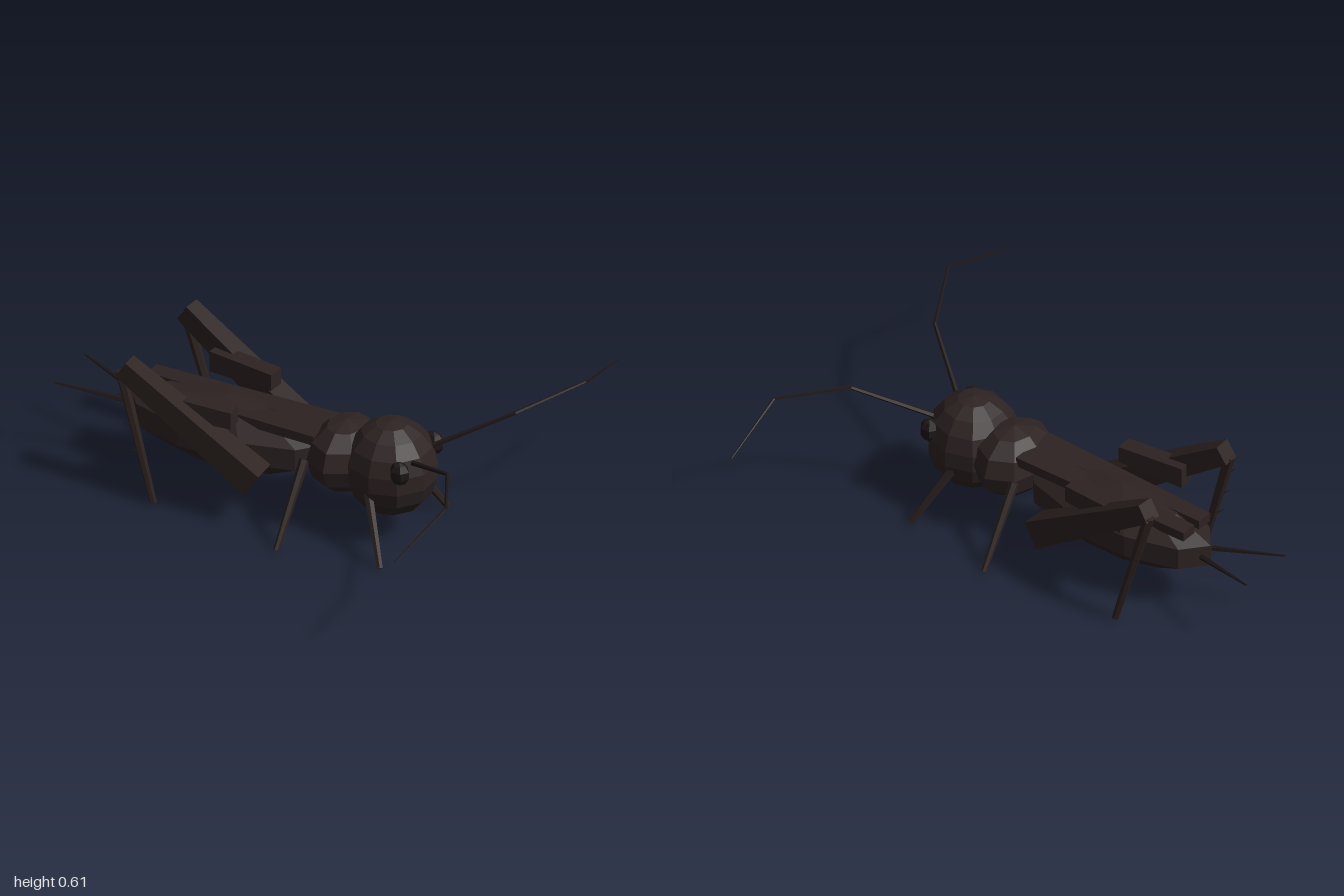
import * as THREE from 'three';

const material = (name, color) => {
  const m = new THREE.MeshStandardMaterial({ color, flatShading: true });
  m.name = name;
  return m;
};

export function createModel() {
  const shell = material('dark brown shell', 0x2d2222);
  const limb = material('brown limb', 0x2b211f);
  const dark = material('blackish brown', 0x1e1616);
  const root = new THREE.Group();
  root.name = 'cricket';

  const add = (name, geometry, mat, parent = root) => {
    const mesh = new THREE.Mesh(geometry, mat);
    mesh.name = name;
    parent.add(mesh);
    return mesh;
  };

  // Faceted ellipsoid
  const blob = (name, centre, radii, w, h, mat, turn = 0, parent = root) => {
    const g = new THREE.SphereGeometry(1, w, h);
    g.rotateY(turn);
    g.scale(...radii);
    g.translate(...centre);
    return add(name, g, mat, parent);
  };

  // Tapered round rod from a to b
  const rod = (name, a, b, ra, rb, mat, parent, sides = 6) => {
    const p = new THREE.Vector3(...a), q = new THREE.Vector3(...b);
    const d = q.clone().sub(p);
    const mesh = add(name, new THREE.CylinderGeometry(rb, ra, d.length(), sides), mat, parent);
    mesh.position.copy(p).add(q).multiplyScalar(0.5);
    mesh.quaternion.setFromUnitVectors(new THREE.Vector3(0, 1, 0), d.normalize());
    return mesh;
  };

  // Box along a to b, with its own half height and half width at each end
  const beam = (name, a, b, endA, endB, mat, parent) => {
    const p = new THREE.Vector3(...a), q = new THREE.Vector3(...b);
    const g = new THREE.BoxGeometry(2, 2, 2);
    const x = q.clone().sub(p).normalize();
    const z = x.clone().cross(new THREE.Vector3(0, 1, 0)).normalize();
    const y = z.clone().cross(x);
    const pos = g.attributes.position;
    for (let i = 0; i < pos.count; i++) {
      const atB = pos.getX(i) > 0;
      const [hy, hz] = atB ? endB : endA;
      const v = (atB ? q : p).clone()
        .addScaledVector(y, pos.getY(i) * hy)
        .addScaledVector(z, pos.getZ(i) * hz);
      pos.setXYZ(i, v.x, v.y, v.z);
    }
    g.computeVertexNormals();
    return add(name, g, mat, parent);
  };

  // Body
  blob('abdomen', [-0.29, 0.265, 0], [0.462, 0.15, 0.178], 10, 5, shell);
  blob('thorax', [0.24, 0.305, 0], [0.15, 0.15, 0.19], 8, 6, shell);
  blob('head', [0.44, 0.305, 0], [0.188, 0.203, 0.185], 10, 9, shell, Math.PI / 10);

  for (const s of [1, -1]) {
    const side = new THREE.Group();
    side.name = s > 0 ? 'rightSide' : 'leftSide';
    root.add(side);
    const m = ([x, y, z]) => [x, y, z * s];

    // Folded wings
    beam('wing', m([-0.66, 0.37, 0.05]), m([0.15, 0.38, 0.05]), [0.02, 0.035], [0.02, 0.055], shell, side);
    beam('sideWing', m([-0.46, 0.425, 0.19]), m([-0.17, 0.425, 0.165]), [0.045, 0.035], [0.036, 0.035], shell, side);

    // Eye
    blob('eye', m([0.552, 0.37, 0.135]), [0.044, 0.05, 0.037], 6, 5, dark, 0, side);

    // Antenna in three thinning segments
    const path = [[0.57, 0.39, 0.07], [0.84, 0.52, 0.265], [0.995, 0.56, 0.55], [0.953, 0.477, 0.875]];
    const radii = [0.011, 0.008, 0.006, 0.003];
    for (let i = 0; i < 3; i++) {
      rod('antenna', m(path[i]), m(path[i + 1]), radii[i], radii[i + 1], dark, side, 5);
    }

    // Tail feeler
    rod('tailFeeler', m([-0.71, 0.27, 0.035]), m([-1, 0.315, 0.122]), 0.012, 0.004, dark, side, 5);

    // Front and middle legs
    rod('frontLeg', m([0.4, 0.3, 0.13]), m([0.54, 0.006, 0.268]), 0.021, 0.013, limb, side);
    rod('middleLeg', m([0.13, 0.31, 0.14]), m([0.12, 0.004, 0.345]), 0.021, 0.012, limb, side);

    // Jumping leg
    beam('hindThigh', m([-0.615, 0.57, 0.245]), m([-0.045, 0.2, 0.205]), [0.04, 0.036], [0.058, 0.055], limb, side);
    rod('hindShin', m([-0.625, 0.55, 0.255]), m([-0.47, 0.006, 0.272]), 0.023, 0.014, limb, side);
    for (const t of [0.2, 0.42, 0.62]) {
      const [x, y, z] = [-0.625 + 0.155 * t, 0.55 - 0.544 * t, 0.255 + 0.017 * t];
      rod('shinSpine', m([x, y, z]), m([x - 0.03, y + 0.025, z + 0.035]), 0.006, 0.001, dark, side, 4);
    }
  }
  return root;
}
